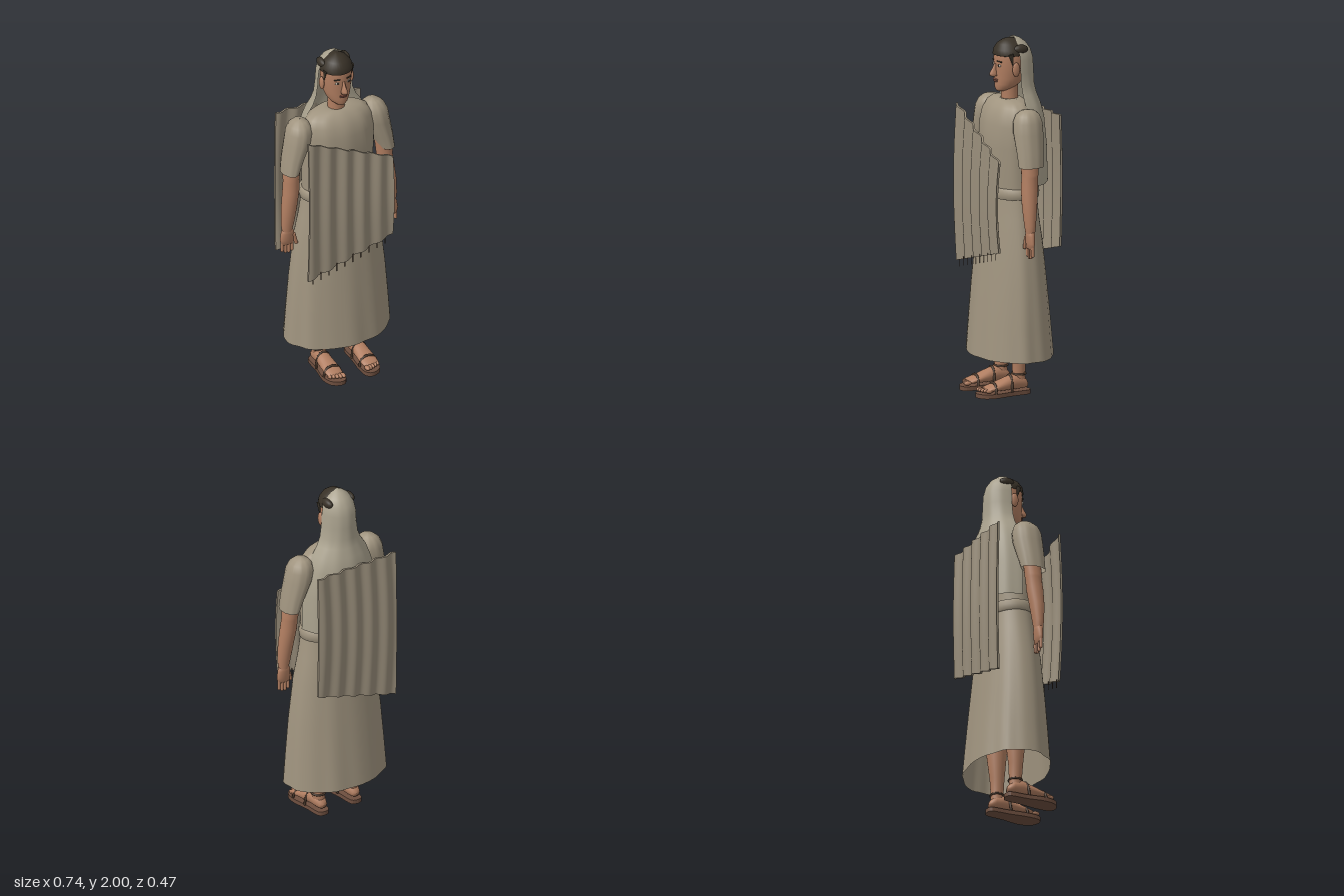
import * as THREE from 'three';

const mat = (name, color, side = THREE.FrontSide) => {
  const m = new THREE.MeshStandardMaterial({ color, side });
  m.name = name;
  return m;
};

// Smooth skin over elliptical rings [y, rx, rz, cx, cz]; arc limits it to part of a turn
function loft(rings, { seg = 24, from = 0, arc = Math.PI * 2, fold = () => 1 } = {}) {
  const closed = arc > 6.28, cols = closed ? seg : seg + 1;
  const pos = [], idx = [];
  rings.forEach(([y, rx, rz, cx = 0, cz = 0], i) => {
    for (let j = 0; j < cols; j++) {
      const a = from + (arc * j) / seg, f = fold(a, i / (rings.length - 1));
      pos.push(cx + Math.sin(a) * rx * f, y, cz + Math.cos(a) * rz * f);
    }
  });
  for (let i = 0; i < rings.length - 1; i++)
    for (let j = 0; j < seg; j++) {
      const k = (j + 1) % cols, a = i * cols + j, b = i * cols + k, c = a + cols, d = b + cols;
      idx.push(a, b, c, b, d, c);
    }
  const g = new THREE.BufferGeometry();
  g.setAttribute('position', new THREE.Float32BufferAttribute(pos, 3));
  g.setIndex(idx);
  g.computeVertexNormals();
  return g;
}

// Corrugated cloth panel between two sloping edges
function panel(top, bottom, z, out) {
  const g = new THREE.BoxGeometry(1, 1, 0.012, 60, 16, 1), p = g.attributes.position;
  for (let i = 0; i < p.count; i++) {
    const u = p.getX(i) + 0.5, v = p.getY(i) + 0.5;
    const lo = THREE.MathUtils.lerp(bottom[0], bottom[1], u), hi = THREE.MathUtils.lerp(top[0], top[1], u);
    const wave = 0.009 * Math.sin(u * Math.PI * 10 + 0.6 * Math.sin(v * 3));
    const bulge = out * 0.012 * Math.sin(v * Math.PI);
    p.setXYZ(i, -0.277 + 0.53 * u, lo + (hi - lo) * v, z + p.getZ(i) + wave + bulge);
  }
  g.computeVertexNormals();
  return g;
}

export function createModel() {
  const model = new THREE.Group();
  model.name = 'robedFigure';
  const D = THREE.DoubleSide;
  const robe = mat('robe cloth', 0xa0947f, D), veilCloth = mat('veil cloth', 0xa9a18d, D);
  const shawl = mat('shawl cloth', 0x988d7a, D), skin = mat('skin', 0xb07d60);
  const hair = mat('dark hair', 0x383127), lipMat = mat('lips', 0x8a5546);
  const leather = mat('strap leather', 0x4a382b), soleMat = mat('sole leather', 0x6e4f3f);
  const white = mat('eye white', 0xd8cfc0);

  const add = (name, geo, material, x = 0, y = 0, z = 0, parent = model) => {
    const m = new THREE.Mesh(geo, material);
    m.name = name;
    m.position.set(x, y, z);
    parent.add(m);
    return m;
  };
  const blob = (name, material, x, y, z, sx, sy, sz, parent) =>
    add(name, new THREE.SphereGeometry(1, 16, 12).scale(sx, sy, sz), material, x, y, z, parent);

  // Robe: skirt, bodice and belt
  const skirtFold = (a, t) => 1 + (1 - t) * (0.013 * Math.cos(9 * a + 1) + 0.008 * Math.cos(14 * a));
  add('skirt', loft([
    [0.215, 0.312, 0.22, 0, -0.012], [0.4, 0.3, 0.205, 0, -0.011], [0.6, 0.285, 0.187, 0, -0.01],
    [0.85, 0.257, 0.163, 0, -0.01], [1.0, 0.225, 0.145, 0, -0.01], [1.13, 0.205, 0.135, 0, -0.01],
  ], { seg: 72, fold: skirtFold }), robe);
  add('bodice', loft([
    [1.1, 0.205, 0.135, 0, -0.01], [1.2, 0.205, 0.136, 0, -0.008], [1.4, 0.215, 0.143],
    [1.52, 0.214, 0.132], [1.58, 0.205, 0.117], [1.62, 0.183, 0.098, 0, -0.005], [1.643, 0.145, 0.077, 0, -0.008],
    [1.655, 0.08, 0.06, 0, -0.01], [1.652, 0.048, 0.048, 0, -0.012],
  ], { seg: 64, fold: (a, t) => 1 + 0.012 * Math.cos(11 * a) * Math.sin(Math.PI * t) }), robe);
  add('belt', loft([
    [1.11, 0.205, 0.137, 0, -0.011], [1.113, 0.217, 0.147, 0, -0.011], [1.14, 0.219, 0.149, 0, -0.011],
    [1.17, 0.216, 0.147, 0, -0.011], [1.174, 0.2, 0.135, 0, -0.011],
  ], { seg: 48 }), robe);

  // Shawl panels, front and back, with tassels along the front hem
  add('frontShawl', panel([1.58, 1.345], [0.69, 0.842], 0.172, 1), shawl);
  add('backShawl', panel([1.58, 1.58], [0.69, 0.842], -0.2, -1), shawl);
  for (let i = 0; i < 10; i++) {
    const x = -0.245 + i * 0.05;
    add('tassel', new THREE.CylinderGeometry(0.003, 0.002, 0.05, 6), leather, x, 0.677 + (x + 0.277) * 0.287, 0.172);
  }

  // Veil: a half shell open toward the front
  add('veil', loft([
    [1.19, 0.235, 0.181], [1.4, 0.23, 0.175], [1.55, 0.2, 0.166], [1.63, 0.168, 0.148], [1.68, 0.134, 0.13],
    [1.73, 0.114, 0.121], [1.8, 0.104, 0.119], [1.87, 0.1, 0.116], [1.92, 0.09, 0.102], [1.96, 0.066, 0.074],
    [1.985, 0.034, 0.04], [2.0, 0.001, 0.001],
  ].map(([y, rx, rz]) => [y, rx, rz, 0, -0.03]), {
    seg: 40, from: Math.PI / 2, arc: Math.PI, fold: (a, t) => 1 + 0.01 * (1 - t) * Math.cos(12 * a),
  }), veilCloth);

  // Head and neck
  const head = new THREE.Group();
  head.name = 'head';
  model.add(head);
  add('neck', loft([[1.6, 0.052, 0.05, 0, -0.012], [1.66, 0.046, 0.046, 0, -0.012], [1.75, 0.046, 0.048, 0, -0.01]]),
    skin, 0, 0, 0, head);
  add('skull', loft([
    [1.692, 0.001, 0.001, 0, 0.035], [1.696, 0.026, 0.03, 0, 0.036], [1.71, 0.046, 0.054, 0, 0.019],
    [1.735, 0.064, 0.072, 0, 0.002], [1.77, 0.076, 0.084, 0, -0.01], [1.82, 0.083, 0.09, 0, -0.015],
    [1.88, 0.086, 0.093, 0, -0.017], [1.93, 0.078, 0.085, 0, -0.015], [1.965, 0.05, 0.055, 0, -0.012],
    [1.98, 0.001, 0.001, 0, -0.012],
  ], { seg: 32 }), skin, 0, 0, 0, head);
  add('hairCap', loft([
    [1.897, 0.085, 0.091, 0, -0.016], [1.9, 0.093, 0.098, 0, -0.016], [1.93, 0.087, 0.093, 0, -0.016],
    [1.96, 0.064, 0.072, 0, -0.014], [1.98, 0.034, 0.042, 0, -0.013], [1.99, 0.001, 0.001, 0, -0.013],
  ], { seg: 32 }), hair, 0, 0, 0, head);
  add('nose', loft([
    [1.778, 0.001, 0.001, 0, 0.085], [1.782, 0.019, 0.022, 0, 0.085], [1.797, 0.015, 0.027, 0, 0.084],
    [1.82, 0.009, 0.017, 0, 0.079], [1.85, 0.007, 0.007, 0, 0.073],
  ], { seg: 12 }), skin, 0, 0, 0, head);
  blob('upperLip', lipMat, 0, 1.761, 0.074, 0.026, 0.005, 0.008, head);
  blob('lowerLip', lipMat, 0, 1.752, 0.073, 0.021, 0.006, 0.009, head);

  for (const s of [1, -1]) {
    // Eyes, brows, ears and side hair
    blob('eye', white, s * 0.034, 1.843, 0.067, 0.015, 0.007, 0.006, head);
    blob('iris', hair, s * 0.034, 1.843, 0.071, 0.007, 0.007, 0.004, head);
    const brow = add('brow', new THREE.BoxGeometry(0.034, 0.006, 0.008), hair, s * 0.036, 1.866, 0.068, head);
    brow.rotation.set(0, s * 0.35, s * -0.08);
    blob('ear', skin, s * 0.092, 1.825, -0.008, 0.012, 0.04, 0.022, head);
    const lock = add('sideLock', new THREE.ConeGeometry(0.015, 0.085, 8).rotateX(Math.PI).scale(0.45, 1, 1),
      hair, s * 0.086, 1.87, 0.012, head);
    lock.rotation.x = 0.2;
    blob('templeHair', hair, s * 0.073, 1.932, -0.045, 0.022, 0.026, 0.044, head);

    // Sleeve, arm and hand
    const side = (rings) => rings.map(([y, rx, rz, cx, cz]) => [y, rx, rz, s * cx, cz]);
    add('sleeve', loft(side([
      [1.32, 0.047, 0.072, 0.299, 0.002], [1.4, 0.058, 0.078, 0.279, -0.002], [1.5, 0.072, 0.085, 0.247, -0.006],
      [1.56, 0.073, 0.083, 0.236, -0.008], [1.6, 0.06, 0.068, 0.231, -0.01], [1.622, 0.036, 0.042, 0.229, -0.012],
      [1.63, 0.001, 0.001, 0.228, -0.012],
    ]), { seg: 36, fold: (a) => 1 + 0.018 * Math.cos(10 * a) }), robe);
    add('arm', loft(side([
      [0.955, 0.029, 0.026, 0.325, 0.02], [1.0, 0.038, 0.031, 0.322, 0.02], [1.1, 0.045, 0.041, 0.311, 0.018],
      [1.2, 0.047, 0.047, 0.297, 0.012], [1.265, 0.045, 0.045, 0.292, 0.007], [1.28, 0.047, 0.048, 0.292, 0.006],
      [1.42, 0.043, 0.05, 0.275, 0],
    ])), skin);
    add('palm', loft(side([
      [0.862, 0.001, 0.001, 0.325, 0.02], [0.868, 0.038, 0.014, 0.325, 0.02], [0.9, 0.043, 0.02, 0.325, 0.02],
      [0.94, 0.04, 0.023, 0.322, 0.02], [0.97, 0.028, 0.024, 0.324, 0.02], [0.975, 0.001, 0.001, 0.324, 0.02],
    ])), skin);
    [0.84, 0.833, 0.836, 0.848].forEach((y, i) =>
      add('finger', new THREE.CapsuleGeometry(0.0095, 0.055, 4, 8), skin, s * (0.294 + i * 0.0205), y + 0.012, 0.02));
    const thumb = add('thumb', new THREE.CapsuleGeometry(0.011, 0.06, 4, 8), skin, s * 0.28, 0.895, 0.028);
    thumb.rotation.z = s * -0.25;

    // Leg and foot
    add('leg', loft(side([
      [0.06, 0.036, 0.038, 0.112, -0.015], [0.11, 0.034, 0.035, 0.112, -0.014], [0.21, 0.042, 0.04, 0.114, -0.013],
      [0.35, 0.055, 0.055, 0.115, -0.015], [0.6, 0.06, 0.06, 0.112, -0.01], [1.0, 0.075, 0.075, 0.105, -0.01],
    ])), skin);
    const foot = new THREE.Group();
    foot.name = 'foot';
    foot.position.x = s * 0.112;
    model.add(foot);
    // Rings run from heel to toe, then turn to lie along z
    add('footBody', loft([
      [-0.066, 0.001, 0.001, 0, -0.055], [-0.058, 0.026, 0.022, 0, -0.055], [-0.03, 0.038, 0.038, 0, -0.068],
      [0.02, 0.04, 0.045, 0, -0.074], [0.08, 0.044, 0.035, 0, -0.063], [0.14, 0.049, 0.023, 0, -0.052],
      [0.185, 0.046, 0.015, 0, -0.045], [0.2, 0.001, 0.001, 0, -0.043],
    ]).rotateX(Math.PI / 2), skin, 0, 0, 0, foot);
    [0.214, 0.212, 0.206, 0.198, 0.19].forEach((z, i) =>
      blob('toe', skin, s * (-0.036 + i * 0.018), 0.04, z - 0.008, i ? 0.01 : 0.014, 0.012, 0.022, foot));
    // Sandal sole and straps
    const outline = [[0, -0.08], [0.036, -0.06], [0.043, 0.04], [0.058, 0.14], [0.042, 0.21], [-0.01, 0.24],
      [-0.05, 0.218], [-0.055, 0.14], [-0.043, 0.04], [-0.036, -0.06]];
    const shape = new THREE.Shape(new THREE.SplineCurve(
      [...outline, outline[0]].map(([x, z]) => new THREE.Vector2(x * s, z))).getPoints(40).slice(0, -1));
    add('sole', new THREE.ExtrudeGeometry(shape, { depth: 0.024, bevelEnabled: false }).rotateX(Math.PI / 2),
      soleMat, 0, 0.024, 0, foot);
    for (const [z, w, h] of [[0.15, 0.053, 0.077], [0.05, 0.047, 0.112]]) {
      const pts = [];
      for (let i = 0; i <= 8; i++) {
        const a = (Math.PI * i) / 8;
        pts.push(new THREE.Vector3(Math.cos(a) * w, 0.022 + Math.sin(a) * (h - 0.022), z - Math.sin(a) * 0.008));
      }
      add('strap', new THREE.TubeGeometry(new THREE.CatmullRomCurve3(pts), 24, 0.007, 8), leather, 0, 0, 0, foot);
    }
    add('ankleStrap', new THREE.TorusGeometry(0.037, 0.006, 8, 28).rotateX(Math.PI / 2), leather, 0, 0.115, -0.014, foot);
  }
  return model;
}
